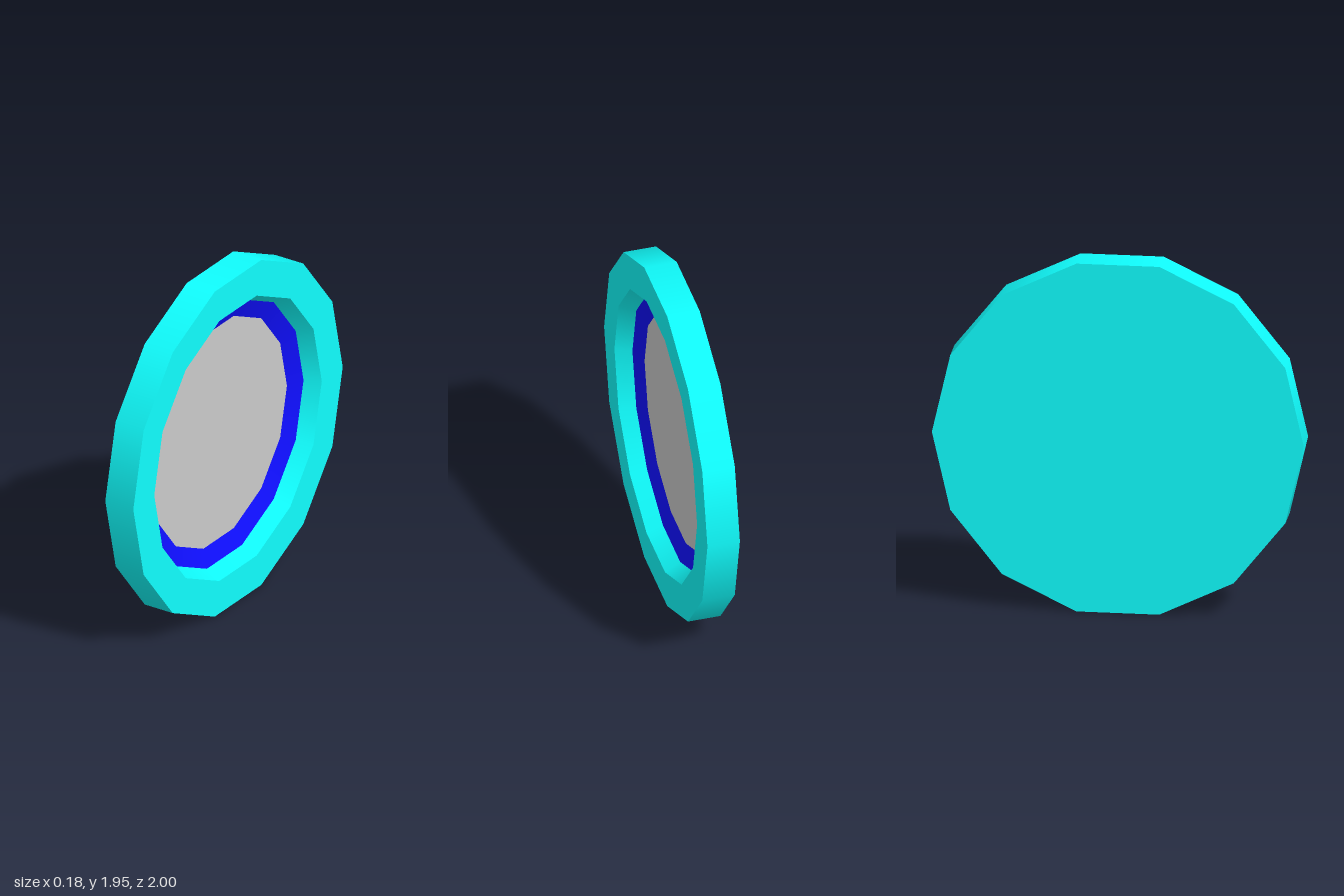
import * as THREE from 'three';

const SIDES = 14;
const CENTRE_Y = 0.975;

// One band of revolution between two [radius, x] points, turned onto the x axis.
function band(name, from, to, material) {
  const points = [from, to].map(([r, x]) => new THREE.Vector2(r, x));
  const mesh = new THREE.Mesh(new THREE.LatheGeometry(points, SIDES), material);
  mesh.name = name;
  mesh.rotation.z = -Math.PI / 2;
  mesh.position.y = CENTRE_Y;
  return mesh;
}

export function createModel() {
  const group = new THREE.Group();
  group.name = 'dishedDisc';

  const cyan = new THREE.MeshStandardMaterial({ color: 0x10ffff });
  const blue = new THREE.MeshStandardMaterial({ color: 0x0f0fff });
  const grey = new THREE.MeshStandardMaterial({ color: 0xcccccc });

  // Profile from the closed back, over the rim and down into the recess.
  // Separate bands keep the edges between them sharp.
  const back = [0, -0.09];
  const outerBack = [1, -0.09];
  const outerFront = [1, 0.09];
  const rimInner = [0.8, 0.09];
  const wallFoot = [0.755, 0.003];
  const panelEdge = [0.653, -0.035];
  const panelCentre = [0, -0.035];

  group.add(
    band('backPlate', back, outerBack, cyan),
    band('outerWall', outerBack, outerFront, cyan),
    band('rimFace', outerFront, rimInner, cyan),
    band('recessWall', rimInner, wallFoot, cyan),
    band('innerRing', wallFoot, panelEdge, blue),
    band('centrePanel', panelEdge, panelCentre, grey),
  );
  return group;
}
